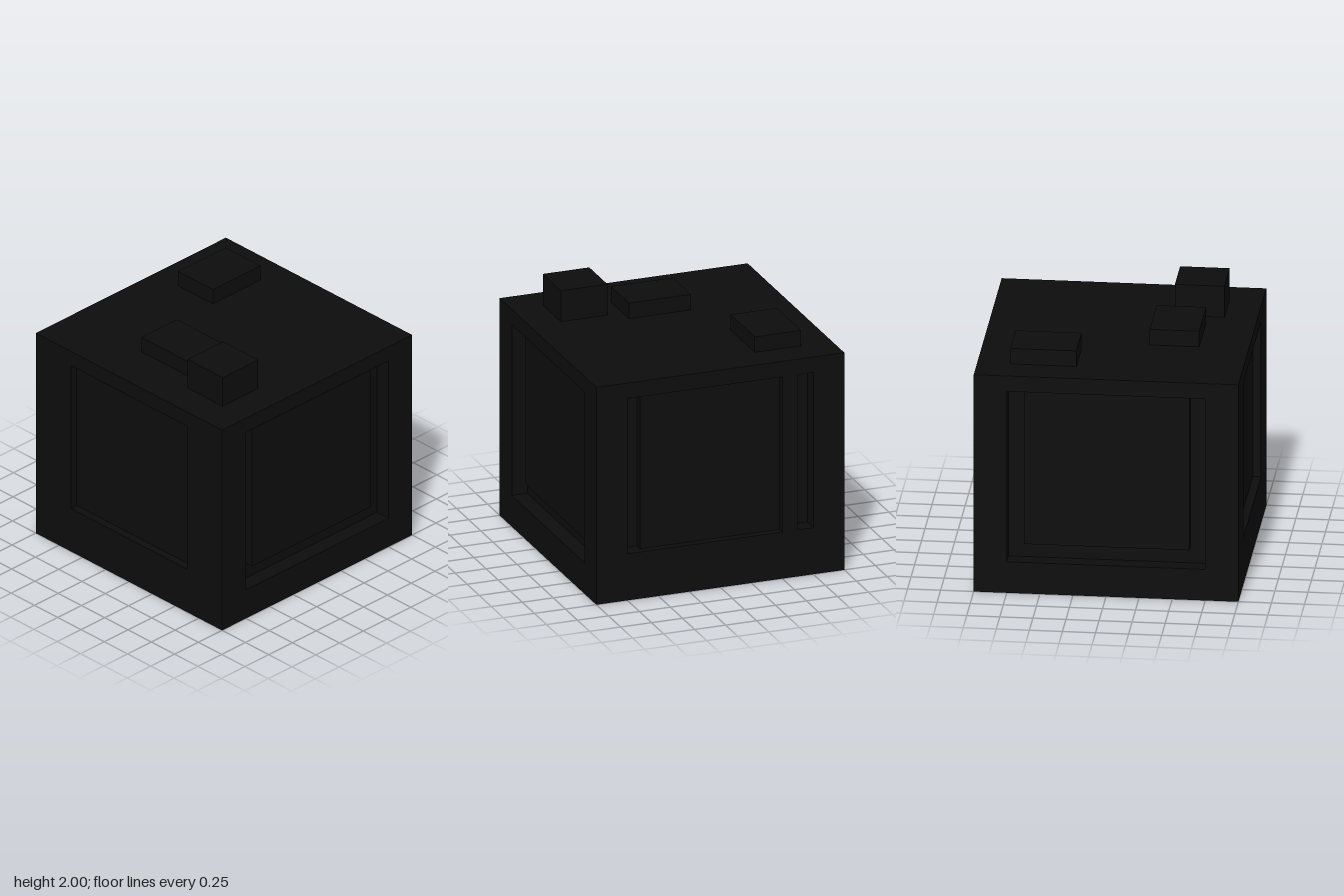
import * as THREE from 'three';

const HEIGHT = 1.75;   // body height without the roof blocks
const INNER = 0.875;   // distance from the axis to the back of each wall
const WALL = 0.125;    // wall thickness, and depth of the grooves
const PANEL = 0.0625;  // thickness of the inset panels

const darkShell = new THREE.MeshStandardMaterial({ color: 0x0d0d0d });
darkShell.name = 'darkShell';

// Box given by its limits on each axis
function block(name, [x0, x1], [y0, y1], [z0, z1]) {
  const mesh = new THREE.Mesh(new THREE.BoxGeometry(x1 - x0, y1 - y0, z1 - z0), darkShell);
  mesh.position.set((x0 + x1) / 2, (y0 + y1) / 2, (z0 + z1) / 2);
  mesh.name = name;
  return mesh;
}

function trace(path, [x0, x1], [y0, y1]) {
  path.moveTo(x0, y0);
  path.lineTo(x1, y0);
  path.lineTo(x1, y1);
  path.lineTo(x0, y1);
  path.closePath();
  return path;
}

// Wall with openings and one inset panel, built facing +z and then turned
function wall(name, width, turn, openings, panel) {
  const group = new THREE.Group();
  group.name = name;
  const shape = trace(new THREE.Shape(), [-width / 2, width / 2], [0, HEIGHT]);
  for (const [xs, ys] of openings) shape.holes.push(trace(new THREE.Path(), xs, ys));
  const frame = new THREE.Mesh(
    new THREE.ExtrudeGeometry(shape, { depth: WALL, bevelEnabled: false }), darkShell);
  frame.position.z = INNER;
  frame.name = name + 'Frame';
  group.add(frame, block(name + 'Panel', ...panel, [INNER, INNER + PANEL]));
  group.rotation.y = turn;
  return group;
}

export function createModel() {
  const model = new THREE.Group();
  model.name = 'panelledCube';

  model.add(block('core', [-INNER, INNER], [0, HEIGHT], [-INNER, INNER]));

  // Front: one shallow square recess
  const square = [[-0.625, 0.625], [0.375, 1.625]];
  model.add(wall('frontWall', 2, 0, [square], square));

  // Back: shallow recess with a deep groove on one side and a separate slot on the other
  const tall = [0.375, 1.625];
  model.add(wall('backWall', 2, Math.PI,
    [[[-0.75, 0.5], tall], [[0.625, 0.75], tall]],
    [[-0.625, 0.5], tall]));

  // Sides: panel with a deep groove along both sides and the bottom
  for (const [name, side] of [['leftWall', 1], ['rightWall', -1]]) {
    model.add(wall(name, 2 * INNER, side * Math.PI / 2,
      [[[-0.75, 0.75], [0.25, 1.625]]], square));
  }

  // Roof blocks
  model.add(
    block('rearRoofBlock', [-0.75, -0.375], [HEIGHT, 1.875], [-0.75, -0.25]),
    block('middleRoofBlock', [-0.25, 0.25], [HEIGHT, 1.875], [0.25, 0.625]),
    block('tallRoofBlock', [0.375, 0.75], [HEIGHT, 2], [0.375, 0.75]));

  return model;
}
